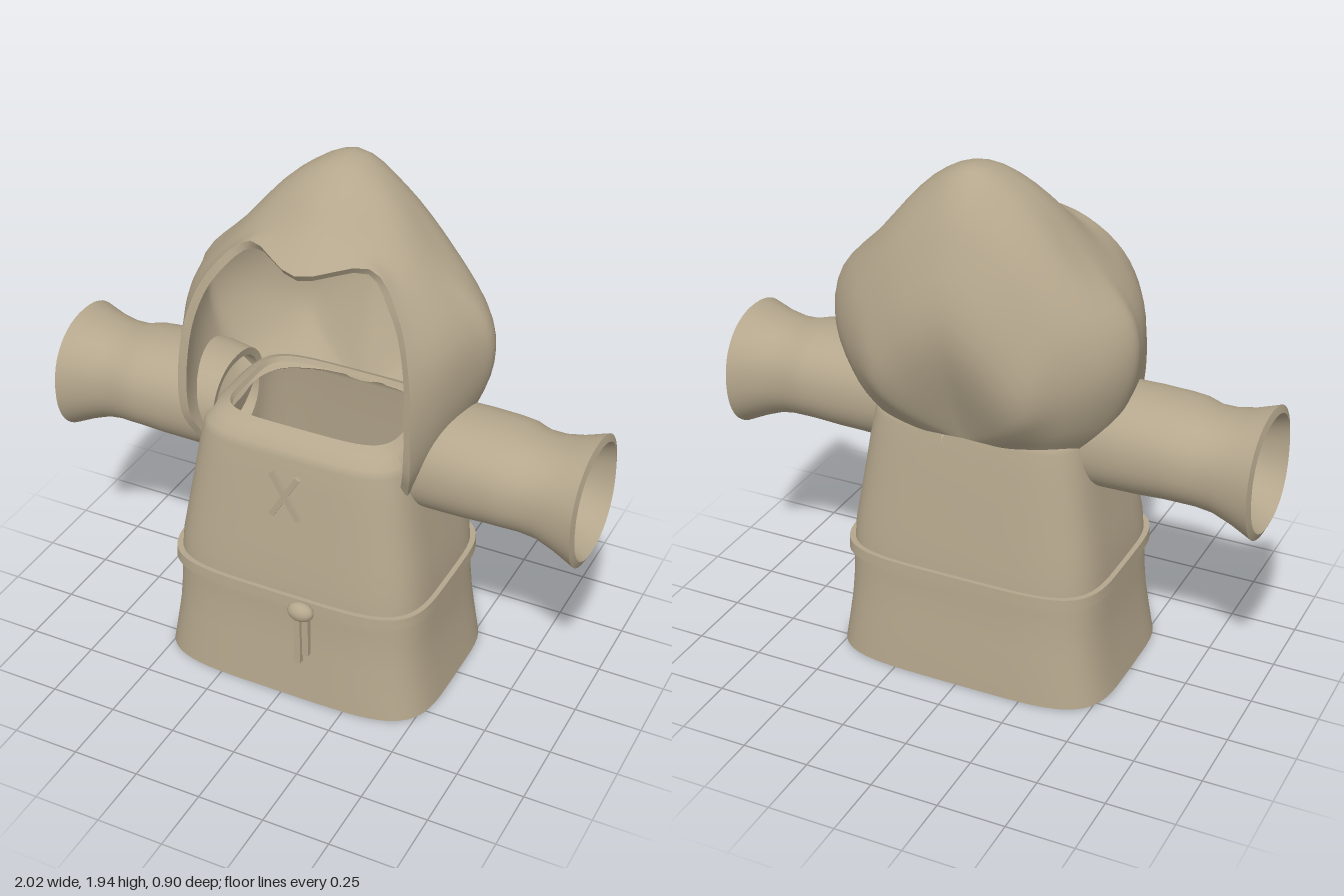
import * as THREE from 'three';
import { mergeGeometries } from 'three/addons/utils/BufferGeometryUtils.js';

const V = (p) => new THREE.Vector3(...p);

function indexed(points, index) {
  const g = new THREE.BufferGeometry().setFromPoints(points);
  g.setIndex(index);
  g.computeVertexNormals();
  return g;
}

// Cloth of a given thickness from a grid of rows; closed rows wrap around
function cloth(rows, thickness, closed) {
  const n = rows[0].length, m = rows.length, span = closed ? n : n - 1;
  const front = [], back = [];
  for (let i = 0; i < m - 1; i++) {
    for (let j = 0; j < span; j++) {
      const k = (j + 1) % n;
      const a = i * n + j, b = i * n + k, c = a + n, d = b + n;
      front.push(a, b, c, b, d, c);
      back.push(a, c, b, b, c, d);
    }
  }
  const outer = indexed(rows.flat(), front);
  const nor = outer.attributes.normal;
  const innerPoints = rows.flat().map((p, i) =>
    p.clone().addScaledVector(new THREE.Vector3().fromBufferAttribute(nor, i), -thickness));
  const parts = [outer, indexed(innerPoints, back)];

  // Strips that close the thickness along each free edge
  const all = rows.flat();
  const rim = (ids) => {
    const pts = [], idx = [];
    ids.forEach((id, i) => {
      pts.push(all[id], innerPoints[id]);
      if (i) idx.push(2 * i - 2, 2 * i - 1, 2 * i, 2 * i - 1, 2 * i + 1, 2 * i);
    });
    parts.push(indexed(pts, idx));
  };
  const row = (i) => Array.from({ length: span + 1 }, (_, j) => i * n + (j % n));
  rim(row(0));
  rim(row(m - 1).reverse());
  if (!closed) {
    const column = (j) => Array.from({ length: m }, (_, i) => i * n + j);
    rim(column(0).reverse());
    rim(column(n - 1));
  }
  return mergeGeometries(parts);
}

// Rounded rectangle ring as [sine-like, cosine-like] pairs
function roundedRing(power, count) {
  const f = (t) => Math.sign(t) * Math.pow(Math.abs(t), 2 / power);
  return Array.from({ length: count }, (_, i) => {
    const a = (i / count) * Math.PI * 2;
    return [f(Math.sin(a)), f(Math.cos(a))];
  });
}

// Horizontal section: height, half width, back z, front z
const section = ([y, w, zb, zf]) => roundedRing(4.6, 64).map(([s, c]) =>
  new THREE.Vector3(w * s, y, (zb + zf) / 2 + c * (zf - zb) / 2));

export function createModel() {
  const model = new THREE.Group();
  const fabric = new THREE.MeshStandardMaterial({ color: 0xb5a78d, side: THREE.DoubleSide });
  fabric.name = 'tan fabric';
  const add = (name, geometry, parent = model) => {
    const mesh = new THREE.Mesh(geometry, fabric);
    mesh.name = name;
    parent.add(mesh);
    return mesh;
  };

  // Robe body, open at the hem and the neck
  add('robeBody', cloth([
    [0, 0.535, -0.37, 0.395], [0.1, 0.518, -0.365, 0.388], [0.2, 0.503, -0.358, 0.38],
    [0.3, 0.495, -0.35, 0.373], [0.37, 0.493, -0.35, 0.374], [0.43, 0.488, -0.348, 0.373],
    [0.52, 0.482, -0.342, 0.365], [0.62, 0.465, -0.33, 0.352], [0.75, 0.443, -0.316, 0.335],
    [0.88, 0.422, -0.3, 0.318], [0.97, 0.405, -0.288, 0.304], [1.0, 0.395, -0.28, 0.296],
    [1.03, 0.365, -0.25, 0.262], [1.05, 0.325, -0.21, 0.22],
  ].map(section), 0.02, true));

  // Belt with its knot and hanging ends
  add('belt', cloth([[0.41, 0.508, -0.365, 0.39], [0.45, 0.506, -0.363, 0.388]].map(section), 0.024, true));
  const knot = add('beltKnot', new THREE.SphereGeometry(1, 24, 16));
  knot.scale.set(0.05, 0.037, 0.033);
  knot.position.set(0.1, 0.43, 0.422);
  for (const [x, bottom] of [[0.09, 0.2], [0.122, 0.245]]) {
    const end = add('beltEnd', new THREE.BoxGeometry(0.024, 0.42 - bottom, 0.022));
    end.position.set(x, (0.42 + bottom) / 2, 0.422);
  }

  // Crossed stitches on the chest
  for (const side of [-1, 1]) {
    const stitch = add('chestStitch', new THREE.BoxGeometry(0.02, 0.205, 0.015));
    stitch.position.set(0, 0.843, 0.34);
    stitch.rotation.z = side * 0.53;
  }

  // Sleeves: x, centre height, vertical and depth radius
  const sleeve = cloth([
    [0.36, 0.955, 0.18, 0.19], [0.45, 0.96, 0.188, 0.2], [0.58, 0.962, 0.184, 0.207],
    [0.68, 0.963, 0.178, 0.208], [0.735, 0.96, 0.176, 0.204], [0.79, 0.95, 0.172, 0.188],
    [0.85, 0.945, 0.178, 0.185], [0.92, 0.938, 0.198, 0.2], [1.0, 0.932, 0.23, 0.227],
  ].map(([x, y, ry, rz]) => roundedRing(2.2, 48).map(([s, c]) =>
    new THREE.Vector3(x, y + ry * c, rz * s))), 0.028, true);
  add('leftSleeve', sleeve).position.z = 0.008;
  const right = add('rightSleeve', sleeve);
  right.position.z = 0.008;
  right.rotation.y = Math.PI;

  // Hood ribs, each from the centre line down to the lower edge
  const faceEdge = [[0, 1.665, 0.25], [0.22, 1.695, 0.145], [0.35, 1.58, 0.2], [0.415, 1.42, 0.255],
    [0.44, 1.22, 0.283], [0.44, 1.03, 0.275], [0.41, 0.9, 0.22]];
  const innerRibs = [
    [[0, 1.76, 0.12], [0.19, 1.73, 0.08], [0.36, 1.6, 0.1], [0.48, 1.44, 0.11],
      [0.5, 1.25, 0.12], [0.47, 1.05, 0.12], [0.41, 0.9, 0.1]],
    [[0, 1.87, 0], [0.19, 1.81, -0.02], [0.37, 1.63, -0.02], [0.52, 1.45, -0.04],
      [0.545, 1.26, -0.04], [0.49, 1.06, -0.04], [0.4, 0.91, -0.04]],
    [[0, 1.93, -0.12], [0.18, 1.85, -0.12], [0.36, 1.65, -0.12], [0.535, 1.46, -0.13],
      [0.56, 1.27, -0.14], [0.49, 1.07, -0.14], [0.39, 0.93, -0.13]],
    [[0, 1.91, -0.25], [0.17, 1.82, -0.24], [0.34, 1.64, -0.24], [0.47, 1.45, -0.25],
      [0.5, 1.27, -0.25], [0.44, 1.08, -0.23], [0.35, 0.95, -0.2]],
    [[0, 1.72, -0.37], [0.16, 1.66, -0.36], [0.29, 1.53, -0.355], [0.38, 1.38, -0.35],
      [0.39, 1.22, -0.34], [0.35, 1.07, -0.3], [0.28, 0.96, -0.25]],
    [[0, 1.4, -0.44], [0.1, 1.36, -0.44], [0.18, 1.28, -0.43], [0.24, 1.2, -0.415],
      [0.25, 1.12, -0.385], [0.22, 1.04, -0.335], [0.16, 0.965, -0.28]],
  ];
  const nape = faceEdge.map((_, j) => [j * 0.012, 0.97, -0.285]);
  const spline = (pts) => new THREE.CatmullRomCurve3(pts, false, 'catmullrom', 0.5);
  const ribs = [faceEdge, ...innerRibs, nape].map((half) => {
    const mirrored = half.slice(1).reverse().map(([x, y, z]) => [-x, y, z]);
    return spline([...mirrored, ...half].map(V)).getPoints(48);
  });
  const lengthwise = ribs[0].map((_, j) => spline(ribs.map((r) => r[j])).getPoints(35));
  const hoodRows = lengthwise[0].map((_, i) => lengthwise.map((line) => line[i]));
  add('hood', cloth(hoodRows, 0.03, false));

  return model;
}
